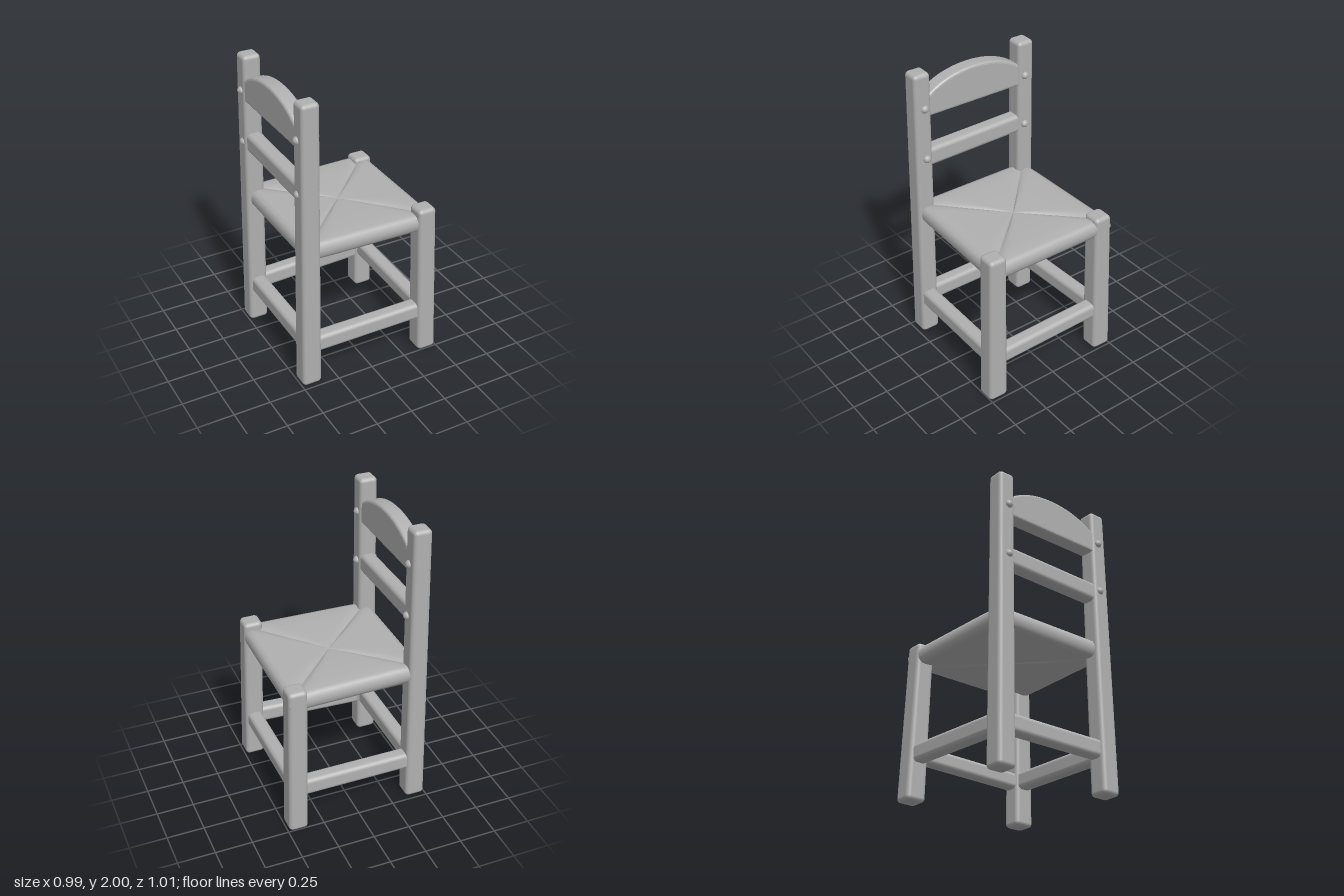
import * as THREE from 'three';
import { RoundedBoxGeometry } from 'three/addons/geometries/RoundedBoxGeometry.js';

const wood = new THREE.MeshStandardMaterial({ color: 0xb0b0b0 });
wood.name = 'plain grey';

function add(group, name, geometry) {
  const mesh = new THREE.Mesh(geometry, wood);
  mesh.name = name;
  group.add(mesh);
  return mesh;
}

// Upright post from y = 0 to height; bottom and top are [x0, x1, z0, z1]
function post(height, bottom, top) {
  const g = new RoundedBoxGeometry(1, height, 1, 3, 0.025);
  const size = 0.13;
  const box = new RoundedBoxGeometry(size, height, size, 3, 0.028);
  g.dispose();
  const p = box.attributes.position;
  const mix = THREE.MathUtils.lerp;
  for (let i = 0; i < p.count; i++) {
    const t = p.getY(i) / height + 0.5;
    const [x0, x1, z0, z1] = bottom.map((b, k) => mix(b, top[k], t));
    p.setXYZ(i, mix(x0, x1, p.getX(i) / size + 0.5), t * height, mix(z0, z1, p.getZ(i) / size + 0.5));
  }
  return box;
}

// Rounded rail between two points, tall in y
function rail(a, b, height, depth) {
  const from = new THREE.Vector3(...a), to = new THREE.Vector3(...b);
  const g = new RoundedBoxGeometry(depth, height, from.distanceTo(to), 3, 0.03);
  const m = new THREE.Matrix4().lookAt(to, from, new THREE.Vector3(0, 1, 0));
  g.applyMatrix4(m.setPosition(from.add(to).multiplyScalar(0.5)));
  return g;
}

// One woven triangle of the seat: a wrapped profile fanned from the centre to one edge
function seatPanel(a, b) {
  const centre = [0.02, -0.02], mid = 0.983, steps = 24;
  const profile = [
    [0, 1.026], [0.12, 1.034], [0.4, 1.042], [0.7, 1.045], [0.9, 1.043], [0.96, 1.033], [0.99, 1.01],
    [1, 0.983], [0.99, 0.953], [0.96, 0.931], [0.9, 0.922], [0.5, 0.92], [0, 0.924],
  ];
  const pos = [], index = [], row = profile.length;
  for (let i = 0; i <= steps; i++) {
    const t = i / steps;
    const groove = 1 - 0.25 * Math.pow(Math.abs(2 * t - 1), 10);
    for (const [s, y] of profile) {
      pos.push(
        THREE.MathUtils.lerp(centre[0], THREE.MathUtils.lerp(a[0], b[0], t), s),
        mid + (y - mid) * groove,
        THREE.MathUtils.lerp(centre[1], THREE.MathUtils.lerp(a[1], b[1], t), s)
      );
    }
  }
  for (let i = 0; i < steps; i++) {
    for (let j = 0; j < row - 1; j++) {
      const k = i * row + j;
      index.push(k, k + row, k + 1, k + 1, k + row, k + row + 1);
    }
  }
  const g = new THREE.BufferGeometry();
  g.setAttribute('position', new THREE.Float32BufferAttribute(pos, 3));
  g.setIndex(index);
  g.computeVertexNormals();
  return g;
}

// Curved top slat, drawn in z-y and extruded along x
function crestSlat() {
  const s = new THREE.Shape();
  const bevel = 0.018;
  s.moveTo(-0.36, 1.69 + bevel);
  s.lineTo(0.36, 1.69 + bevel);
  s.lineTo(0.36, 1.845 - bevel);
  s.lineTo(0.33, 1.85 - bevel);
  s.bezierCurveTo(0.16, 1.975 - bevel, -0.16, 1.975 - bevel, -0.33, 1.85 - bevel);
  s.lineTo(-0.36, 1.845 - bevel);
  const g = new THREE.ExtrudeGeometry(s, {
    depth: 0.104 - 2 * bevel, bevelSize: bevel, bevelThickness: bevel, bevelSegments: 3, curveSegments: 20,
  });
  g.rotateY(-Math.PI / 2);
  g.translate(-0.36 - bevel, 0, 0);
  return g;
}

export function createModel() {
  const chair = new THREE.Group();
  chair.name = 'chair';

  for (const side of [1, -1]) {
    const label = side > 0 ? 'Left' : 'Right';
    const mirror = ([x0, x1, z0, z1]) => (side > 0 ? [x0, x1, z0, z1] : [x0, x1, -z1, -z0]);

    // Tall back posts and short front legs, flaring outward to the floor
    add(chair, 'backPost' + label, post(2, mirror([-0.495, -0.36, 0.345, 0.477]), mirror([-0.468, -0.347, 0.337, 0.455])));
    add(chair, 'frontLeg' + label, post(side > 0 ? 1.09 : 1.067,
      mirror([0.36, 0.492, 0.367, 0.508]), mirror([0.34, 0.467, 0.353, 0.478])));

    // Side stretcher
    add(chair, 'sideStretcher' + label, rail([-0.42, 0.291, side * 0.41], [0.42, 0.309, side * 0.43], 0.12, 0.1));

    // Domed pegs through the back posts
    for (const y of [1.76, 1.4]) {
      const peg = new THREE.CapsuleGeometry(0.027, 0.115, 6, 12);
      peg.rotateZ(Math.PI / 2);
      peg.translate(-0.41, y, side * 0.388);
      add(chair, 'peg' + label, peg);
    }
  }

  // Front and back stretchers
  add(chair, 'frontStretcher', rail([0.42, 0.305, 0.42], [0.42, 0.325, -0.42], 0.11, 0.1));
  add(chair, 'backStretcher', rail([-0.42, 0.295, 0.4], [-0.42, 0.295, -0.4], 0.12, 0.1));

  // Back slats
  add(chair, 'lowerSlat', rail([-0.412, 1.39, 0.38], [-0.412, 1.403, -0.38], 0.13, 0.104));
  add(chair, 'crestSlat', crestSlat());

  // Woven seat in four triangles
  const corners = [[0.465, -0.478], [0.465, 0.468], [-0.455, 0.443], [-0.455, -0.455]];
  ['Front', 'Left', 'Back', 'Right'].forEach((label, i) => {
    add(chair, 'seatPanel' + label, seatPanel(corners[i], corners[(i + 1) % 4]));
  });

  return chair;
}
